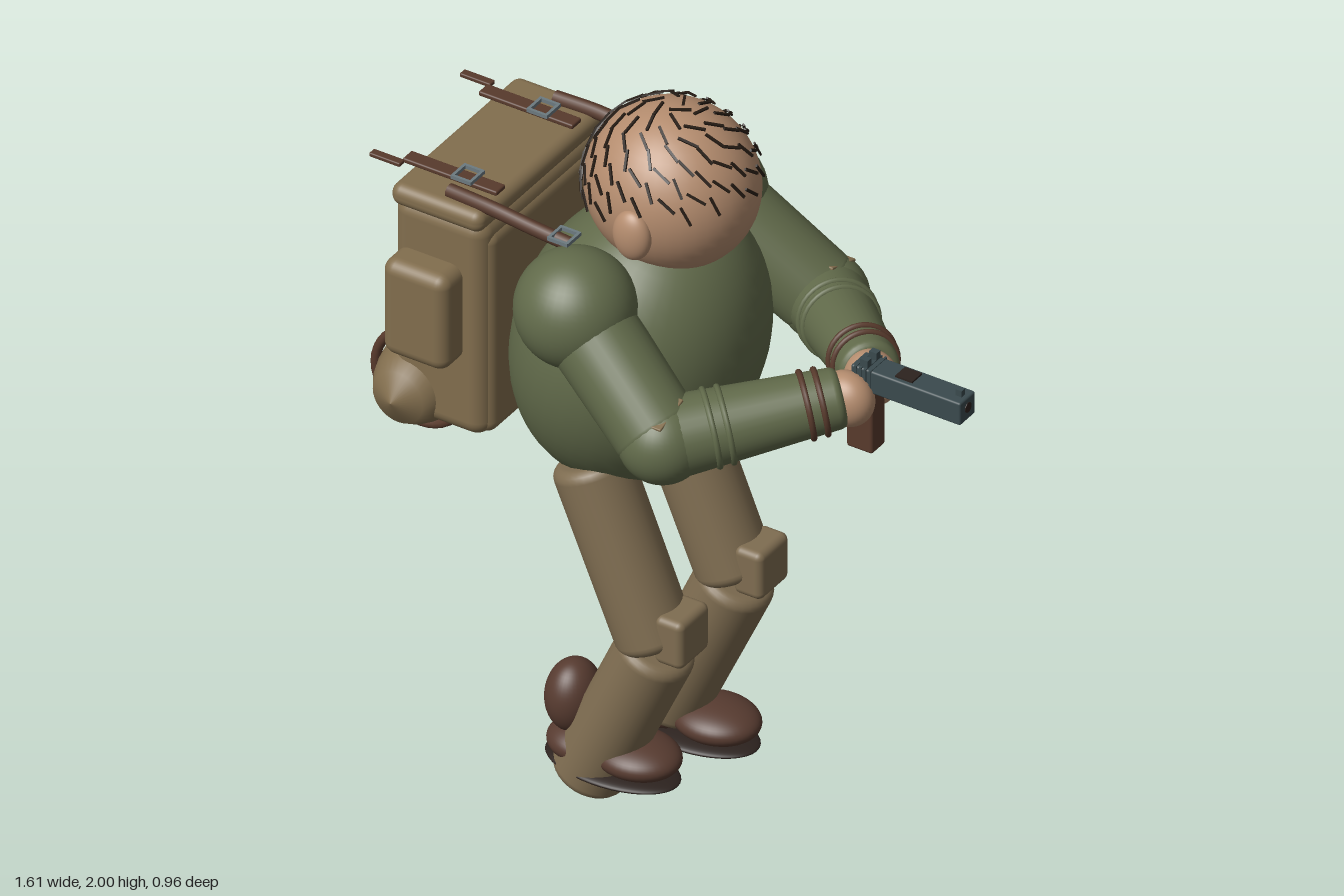
import * as THREE from 'three';
import { RoundedBoxGeometry } from 'three/addons/geometries/RoundedBoxGeometry.js';

const mat = (name, color) => {
  const m = new THREE.MeshStandardMaterial({ color });
  m.name = name;
  return m;
};
const V = (x, y, z) => new THREE.Vector3(x, y, z);
const UP = V(0, 1, 0);

export function createModel() {
  const M = {
    skin: mat('skin', 0xb48c6e),
    shirt: mat('olive shirt', 0x616a4a),
    trousers: mat('khaki trousers', 0x7f6d51),
    pack: mat('canvas pack', 0x826e4e),
    leather: mat('brown leather', 0x583a2c),
    boot: mat('boot brown', 0x573b30),
    sole: mat('dark sole', 0x2c221e),
    hair: mat('dark hair', 0x261c14),
    gun: mat('gunmetal', 0x3a4a4e),
    buckle: mat('buckle steel', 0x6c7a80),
  };
  const model = new THREE.Group();
  model.name = 'figure';

  const add = (name, geo, m, pos, parent = model) => {
    const mesh = new THREE.Mesh(geo, m);
    mesh.name = name;
    if (pos) mesh.position.copy(pos);
    parent.add(mesh);
    return mesh;
  };
  const ball = (name, m, pos, rx, ry = rx, rz = rx) => {
    const b = add(name, new THREE.SphereGeometry(1, 40, 28), m, pos);
    b.scale.set(rx, ry, rz);
    return b;
  };
  const box = (name, m, pos, w, h, d, r = 0) =>
    add(name, r ? new RoundedBoxGeometry(w, h, d, 4, r) : new THREE.BoxGeometry(w, h, d), m, pos);
  // Tapered cylinder with softly rounded rims, laid from a to b
  const limb = (name, m, a, b, ra, rb, c = 0.03) => {
    const len = a.distanceTo(b);
    const pts = [new THREE.Vector2(0, 0)];
    for (let i = 0; i <= 5; i++) {
      const t = (i / 5) * Math.PI / 2;
      pts.push(new THREE.Vector2(ra - c + c * Math.sin(t), c - c * Math.cos(t)));
    }
    for (let i = 0; i <= 5; i++) {
      const t = (i / 5) * Math.PI / 2;
      pts.push(new THREE.Vector2(rb - c + c * Math.cos(t), len - c + c * Math.sin(t)));
    }
    pts.push(new THREE.Vector2(0, len));
    const mesh = add(name, new THREE.LatheGeometry(pts, 32), m, a);
    mesh.quaternion.setFromUnitVectors(UP, b.clone().sub(a).normalize());
    return mesh;
  };
  // Ring whose hole follows the given direction
  const ring = (name, m, pos, dir, R, t) => {
    const mesh = add(name, new THREE.TorusGeometry(R, t, 10, 36), m, pos);
    mesh.quaternion.setFromUnitVectors(V(0, 0, 1), dir);
    return mesh;
  };

  // Torso, leaning forward
  ball('torso', M.shirt, V(-0.15, 1.29, 0), 0.31, 0.41, 0.338).rotation.z = -0.3;

  // Head
  const headPos = V(-0.057, 1.772, 0), headR = V(0.225, 0.218, 0.21);
  ball('head', M.skin, headPos, headR.x, headR.y, headR.z);

  // Short hair: thin strands laid on the scalp in a swirl
  const hair = new THREE.Group();
  hair.name = 'hair';
  model.add(hair);
  const strand = new THREE.BoxGeometry(0.007, 0.055, 0.005);
  const N = 230;
  for (let i = 0; i < N; i++) {
    const y = 1 - 2 * (i + 0.5) / N, r = Math.sqrt(1 - y * y), a = i * 2.39996;
    const n = V(r * Math.cos(a), y, r * Math.sin(a));
    const hairline = n.x > 0 ? 0.1 + 0.12 * n.x : 0.1 + 0.45 * n.x;
    if (y < hairline) continue;
    const s = add('hairStrand', strand, M.hair, n.clone().multiply(headR).multiplyScalar(1.03).add(headPos), hair);
    const normal = n.clone().divide(headR).normalize();
    const side = V(-n.z, 0, n.x).normalize();
    const down = V().crossVectors(side, normal).normalize();
    const tilt = 0.65 + 0.3 * Math.sin(i * 1.7);
    const dir = down.multiplyScalar(Math.cos(tilt)).addScaledVector(side, Math.sin(tilt));
    s.quaternion.setFromRotationMatrix(
      new THREE.Matrix4().makeBasis(V().crossVectors(dir, normal), dir, normal));
  }

  for (const s of [1, -1]) {
    const side = s > 0 ? 'near' : 'far';
    ball(side + 'Ear', M.skin, V(-0.043, 1.738, s * 0.205), 0.053, 0.07, 0.035);

    // Arm
    const shoulder = V(-0.15, 1.535, s * 0.295), elbow = V(0.15, 1.295, s * 0.368);
    const wrist = V(0.48, 1.37, s * 0.065);
    ball(side + 'Shoulder', M.shirt, shoulder, 0.155);
    limb(side + 'UpperArm', M.shirt, shoulder, elbow, 0.118, 0.112);
    ball(side + 'Elbow', M.shirt, elbow, 0.113);
    limb(side + 'Forearm', M.shirt, elbow, wrist, 0.105, 0.078, 0.02);
    const dir = wrist.clone().sub(elbow).normalize();
    for (const [t, R, m] of [[0.27, 0.098, M.shirt], [0.35, 0.096, M.shirt], [0.8, 0.084, M.leather], [0.88, 0.082, M.leather]])
      ring(side + 'SleeveBand', m, elbow.clone().lerp(wrist, t), dir, R, 0.008);
    const patch = box(side + 'ElbowPatch', M.pack, V(0.17, 1.393, s * 0.39), 0.045, 0.008, 0.11, 0.003);
    patch.rotation.x = s * 0.3;
    ball(side + 'Hand', M.skin, V(0.487, 1.362, s * 0.055), 0.074, 0.074, 0.06);

    // Leg with knee pad
    const lz = s * 0.18;
    limb(side + 'Thigh', M.trousers, V(-0.185, 1.01, lz), V(0.015, 0.53, lz), 0.102, 0.1);
    limb(side + 'Shin', M.trousers, V(0.02, 0.53, lz), V(-0.19, 0.07, lz), 0.102, 0.1);
    box(side + 'KneePad', M.trousers, V(0.085, 0.588, lz), 0.085, 0.138, 0.134, 0.02);

    // Boot, the near one lifted
    const by = s > 0 ? 0.123 : 0.022;
    ball(side + 'Sole', M.sole, V(-0.115, by, lz), 0.188, 0.019, 0.103);
    ball(side + 'BootToe', M.boot, V(-0.045, by + 0.055, lz), 0.118, 0.05, 0.098);
    ball(side + 'BootHeel', M.boot, V(-0.2, by + 0.045, lz), 0.095, 0.05, 0.088);
    ball(side + 'BootShaft', M.boot, V(-0.23, by + 0.165, lz), 0.07, 0.1, 0.08);

    // Pack pocket, lid strap, shoulder strap and buckles
    box(side + 'Pocket', M.pack, V(-0.585, 1.378, s * 0.305), 0.19, 0.28, 0.115, 0.035);
    box(side + 'LidStrap', M.leather, V(-0.585, 1.7, s * 0.172), 0.275, 0.014, 0.042, 0.005);
    box(side + 'StrapTail', M.leather, V(-0.76, 1.7, s * 0.205), 0.09, 0.012, 0.024, 0.004);
    const path = new THREE.CatmullRomCurve3([V(-0.555, 1.7, s * 0.24), V(-0.42, 1.697, s * 0.246),
      V(-0.31, 1.683, s * 0.244), V(-0.2, 1.668, s * 0.238)]);
    add(side + 'ShoulderStrap', new THREE.TubeGeometry(path, 24, 0.019, 10), M.leather)
      .scale.set(1, 1, 1);
    for (const p of [V(-0.545, 1.712, s * 0.172), V(-0.218, 1.69, s * 0.242)]) {
      for (const e of [-1, 1]) {
        box(side + 'Buckle', M.buckle, p.clone().add(V(e * 0.026, 0, 0)), 0.008, 0.01, 0.062);
        box(side + 'Buckle', M.buckle, p.clone().add(V(0, 0, e * 0.028)), 0.058, 0.01, 0.008);
      }
    }
    ring(side + 'BedrollHoop', M.leather, V(-0.662, 1.085, s * 0.205), V(0, 0, 1), 0.13, 0.013);
  }

  // Backpack
  box('packBody', M.pack, V(-0.565, 1.335, 0), 0.27, 0.64, 0.56, 0.045);
  box('packBackPad', M.pack, V(-0.46, 1.32, 0), 0.08, 0.6, 0.52, 0.035);
  box('packLid', M.pack, V(-0.567, 1.662, 0), 0.268, 0.062, 0.58, 0.028);

  // Bedroll, swelling in the middle
  const roll = [];
  for (let i = 0; i <= 20; i++) {
    const t = -1 + i / 10;
    roll.push(new THREE.Vector2(0.128 * Math.pow(Math.max(0, 1 - Math.pow(Math.abs(t), 3.2)), 0.45), t * 0.345));
  }
  add('bedroll', new THREE.LatheGeometry(roll, 32), M.pack, V(-0.66, 1.085, 0)).rotation.x = Math.PI / 2;

  // Pistol
  box('pistolSlide', M.gun, V(0.645, 1.418, 0), 0.32, 0.066, 0.07, 0.006);
  box('pistolFrontSight', M.gun, V(0.783, 1.458, 0), 0.018, 0.022, 0.016);
  for (const s of [1, -1]) box('pistolRearSight', M.gun, V(0.52, 1.46, s * 0.02), 0.022, 0.026, 0.018);
  for (let i = 0; i < 4; i++) box('slideRidge', M.gun, V(0.5 + i * 0.014, 1.422, 0), 0.006, 0.062, 0.076);
  box('ejectionPort', M.sole, V(0.632, 1.452, 0), 0.05, 0.008, 0.045);
  add('muzzle', new THREE.CylinderGeometry(0.014, 0.014, 0.004, 20), M.sole, V(0.805, 1.422, 0)).rotation.z = Math.PI / 2;
  box('pistolGrip', M.leather, V(0.507, 1.295, 0), 0.076, 0.19, 0.062, 0.008);

  return model;
}
